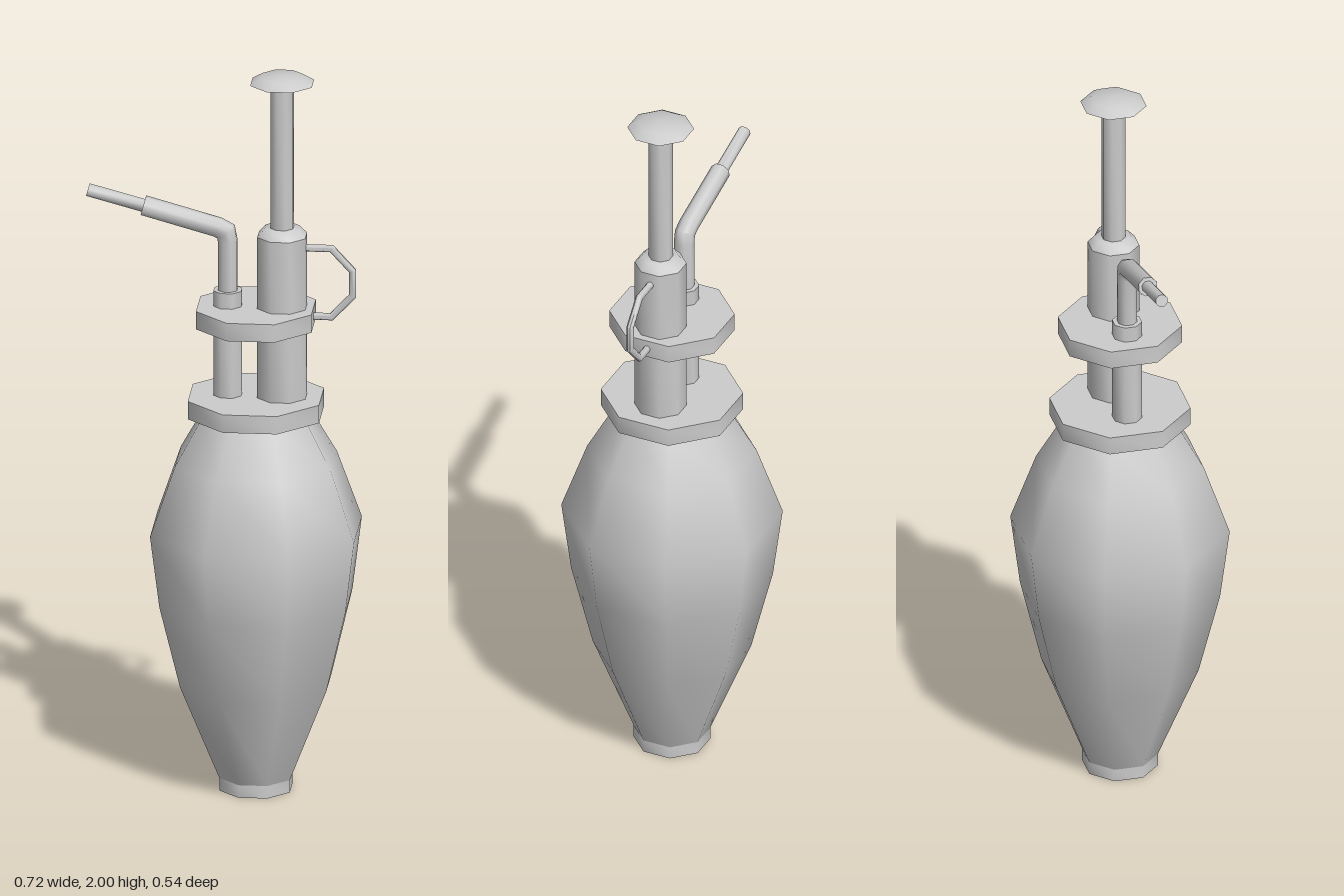
import * as THREE from 'three';
import { toCreasedNormals } from 'three/addons/utils/BufferGeometryUtils.js';

const SIDES = 8;
const CREASE = 0.9;
const APOTHEM = 1 / Math.cos(Math.PI / SIDES);
const material = new THREE.MeshStandardMaterial({ color: 0xcccccc });

function addMesh(group, name, geometry, x = 0) {
  const mesh = new THREE.Mesh(toCreasedNormals(geometry, CREASE), material);
  mesh.name = name;
  mesh.position.x = x;
  group.add(mesh);
}

// Octagonal turned part: profile of [half width across flats, y] from bottom to top
function turned(profile) {
  const points = profile.map(([r, y]) => new THREE.Vector2(r * APOTHEM, y));
  return new THREE.LatheGeometry(points, SIDES, Math.PI / SIDES);
}

function prism(r, y0, y1) {
  return turned([[0, y0], [r, y0], [r, y1], [0, y1]]);
}

// Capped pipe with mitred bends along a path in the xy plane
function pipe(path, radius) {
  const pts = path.map(([x, y]) => new THREE.Vector2(x, y));
  const last = pts.length - 1;
  const positions = [], index = [];
  pts.forEach((p, i) => {
    const before = pts[Math.max(i, 1)].clone().sub(pts[Math.max(i, 1) - 1]).normalize();
    const j = Math.min(i, last - 1);
    const after = pts[j + 1].clone().sub(pts[j]).normalize();
    const dir = before.clone().add(after).normalize();
    const stretch = 1 / dir.dot(before);
    for (let k = 0; k < SIDES; k++) {
      const a = (k + 0.5) / SIDES * Math.PI * 2;
      const side = Math.cos(a) * radius * APOTHEM * stretch;
      positions.push(p.x - dir.y * side, p.y + dir.x * side, Math.sin(a) * radius * APOTHEM);
    }
  });
  const start = pts.length * SIDES, end = start + 1;
  positions.push(pts[0].x, pts[0].y, 0, pts[last].x, pts[last].y, 0);
  for (let k = 0; k < SIDES; k++) {
    const n = (k + 1) % SIDES;
    for (let i = 0; i < last; i++) {
      const a = i * SIDES + k, b = i * SIDES + n;
      index.push(a, b, a + SIDES, b, b + SIDES, a + SIDES);
    }
    index.push(start, n, k, end, last * SIDES + k, last * SIDES + n);
  }
  const geometry = new THREE.BufferGeometry();
  geometry.setAttribute('position', new THREE.Float32BufferAttribute(positions, 3));
  geometry.setIndex(index);
  return geometry;
}

export function createModel() {
  const group = new THREE.Group();
  group.name = 'pumpSprayer';
  const bodyX = 0.09, pumpX = 0.16, spoutX = 0.015;

  // Bottle
  addMesh(group, 'foot', prism(0.094, 0, 0.035), bodyX);
  addMesh(group, 'bottle', turned([
    [0.094, 0.035], [0.195, 0.3], [0.248, 0.53], [0.272, 0.73], [0.208, 0.92], [0.135, 1.055],
  ]), bodyX);

  // Two plates holding the pump and the spout
  addMesh(group, 'collar', prism(0.175, 1.05, 1.1), bodyX);
  addMesh(group, 'upperPlate', prism(0.154, 1.3, 1.35), bodyX);

  // Pump with plunger
  addMesh(group, 'pumpBarrel', prism(0.064, 1.09, 1.55), pumpX);
  addMesh(group, 'pumpShoulder', turned([[0.064, 1.55], [0.045, 1.572], [0, 1.572]]), pumpX);
  addMesh(group, 'plungerRod', prism(0.03, 1.56, 1.98), pumpX);
  addMesh(group, 'plungerKnob', turned([[0, 1.977], [0.082, 1.977], [0.055, 1.995], [0, 2]]), pumpX);

  // Finger grip behind the pump
  addMesh(group, 'grip', pipe([
    [0.2, 1.516], [0.292, 1.516], [0.348, 1.455], [0.348, 1.385], [0.292, 1.325], [0.2, 1.325],
  ], 0.009));

  // Spout
  addMesh(group, 'spoutBase', prism(0.037, 1.09, 1.393), spoutX);
  addMesh(group, 'spoutPipe', pipe([
    [spoutX, 1.38], [spoutX, 1.53], [0.01, 1.555], [-0.012, 1.567], [-0.21, 1.622],
  ], 0.025));
  addMesh(group, 'nozzle', pipe([[-0.19, 1.616], [-0.358, 1.661]], 0.016));

  return group;
}
